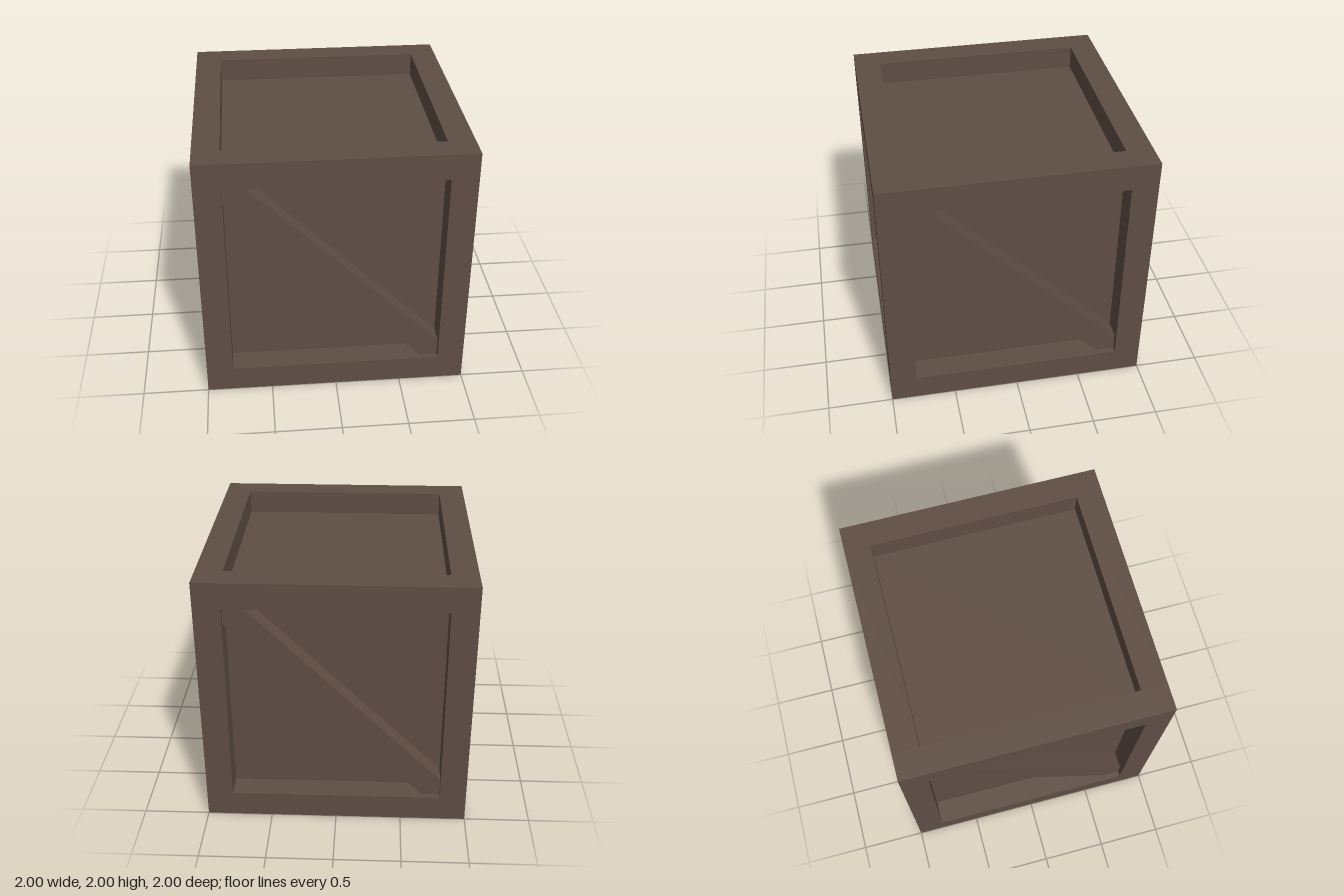
import * as THREE from 'three';

export function createModel() {
  const crate = new THREE.Group();
  crate.name = 'crate';
  const wood = new THREE.MeshStandardMaterial({ color: 0x5f4e45 });
  wood.name = 'brown wood';

  const HALF = 1, BEAM = 0.2, INNER = HALF - BEAM; // frame sizes
  const PANEL = 0.817, BRACE = 0.957;              // distances from the centre
  const CUT = 0.66;                                // where brace edges meet the frame

  const add = (parent, name, geometry, x = 0, y = 0, z = 0) => {
    const mesh = new THREE.Mesh(geometry, wood);
    mesh.name = name;
    mesh.position.set(x, y, z);
    parent.add(mesh);
    return mesh;
  };

  // Recessed panels: the six faces of the inner box
  add(crate, 'panels', new THREE.BoxGeometry(2 * PANEL, 2 * PANEL, 2 * PANEL), 0, HALF, 0);

  // Frame: full-height posts, with rails fitted between them
  const mid = HALF - BEAM / 2;
  const post = new THREE.BoxGeometry(BEAM, 2 * HALF, BEAM);
  const railX = new THREE.BoxGeometry(2 * INNER, BEAM, BEAM);
  const railZ = new THREE.BoxGeometry(BEAM, BEAM, 2 * INNER);
  for (const a of [-mid, mid]) {
    for (const b of [-mid, mid]) {
      add(crate, 'cornerPost', post, a, HALF, b);
      add(crate, 'crossRail', railX, 0, HALF + a, b);
      add(crate, 'sideRail', railZ, a, HALF + b, 0);
    }
  }

  // Diagonal braces, running from upper left to lower right on each side
  const outline = new THREE.Shape([
    [-INNER, INNER], [-INNER, CUT], [CUT, -INNER],
    [INNER, -INNER], [INNER, -CUT], [-CUT, INNER],
  ].map(([x, y]) => new THREE.Vector2(x, y)));
  const braceGeometry = new THREE.ExtrudeGeometry(outline, {
    depth: BRACE - INNER, bevelEnabled: false,
  });
  braceGeometry.translate(0, 0, INNER);
  ['front', 'right', 'back', 'left'].forEach((side, i) => {
    const brace = add(crate, side + 'Brace', braceGeometry, 0, HALF, 0);
    brace.rotation.y = i * Math.PI / 2;
  });

  return crate;
}
